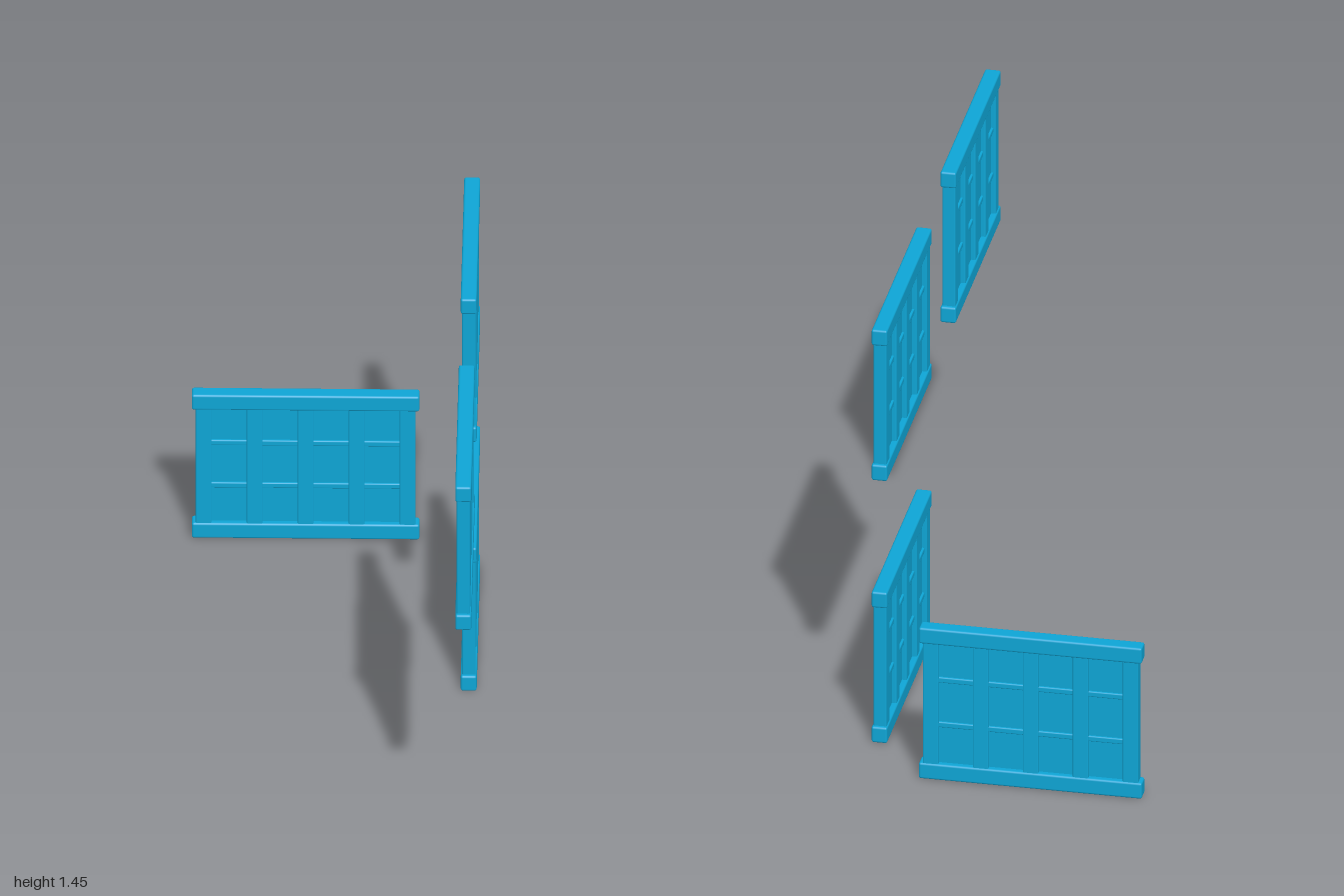
import * as THREE from 'three';
import { RoundedBoxGeometry } from 'three/addons/geometries/RoundedBoxGeometry.js';

const LENGTH = 0.71, HEIGHT = 0.53, RAIL = 0.055;
const material = new THREE.MeshStandardMaterial({ color: 0x0ea5d5 });

function addBox(parent, name, size, position, radius = 0) {
  const geometry = radius
    ? new RoundedBoxGeometry(...size, 2, radius)
    : new THREE.BoxGeometry(...size);
  const mesh = new THREE.Mesh(geometry, material);
  mesh.name = name;
  mesh.position.set(...position);
  parent.add(mesh);
}

// One wall panel along x, standing on y = 0
function createPanel(name) {
  const panel = new THREE.Group();
  panel.name = name;
  const inner = HEIGHT - 2 * RAIL;

  // Thin infill sheet
  addBox(panel, 'infill', [0.64, inner + 0.02, 0.012], [0, HEIGHT / 2, 0]);

  // Bottom and top rails with softened edges
  addBox(panel, 'bottomRail', [LENGTH, RAIL, 0.05], [0, RAIL / 2, 0], 0.007);
  addBox(panel, 'topRail', [LENGTH, RAIL, 0.05], [0, HEIGHT - RAIL / 2, 0], 0.007);

  // Five upright posts
  for (let i = -2; i <= 2; i++) {
    addBox(panel, 'post', [0.05, inner + 0.03, 0.042], [i * 0.159, HEIGHT / 2, 0], 0.005);
  }

  // Two rows of cross battens, shallower than the posts
  for (const y of [0.19, 0.347]) {
    addBox(panel, 'batten', [0.64, 0.019, 0.026], [0, y, 0], 0.004);
  }
  return panel;
}

export function createModel() {
  const model = new THREE.Group();
  model.name = 'wallPanels';
  const placements = [
    ['rearPanel', -0.0975, 0, -0.975, 0],
    ['lowerSidePanel', 0.425, 0, -0.437, Math.PI / 2],
    ['upperRearSidePanel', 0.425, 0.923, -0.437, Math.PI / 2],
    ['upperFrontSidePanel', 0.425, 0.923, 0.645, Math.PI / 2],
  ];
  for (const [name, x, y, z, turn] of placements) {
    const panel = createPanel(name);
    panel.position.set(x, y, z);
    panel.rotation.y = turn;
    model.add(panel);
  }
  return model;
}
